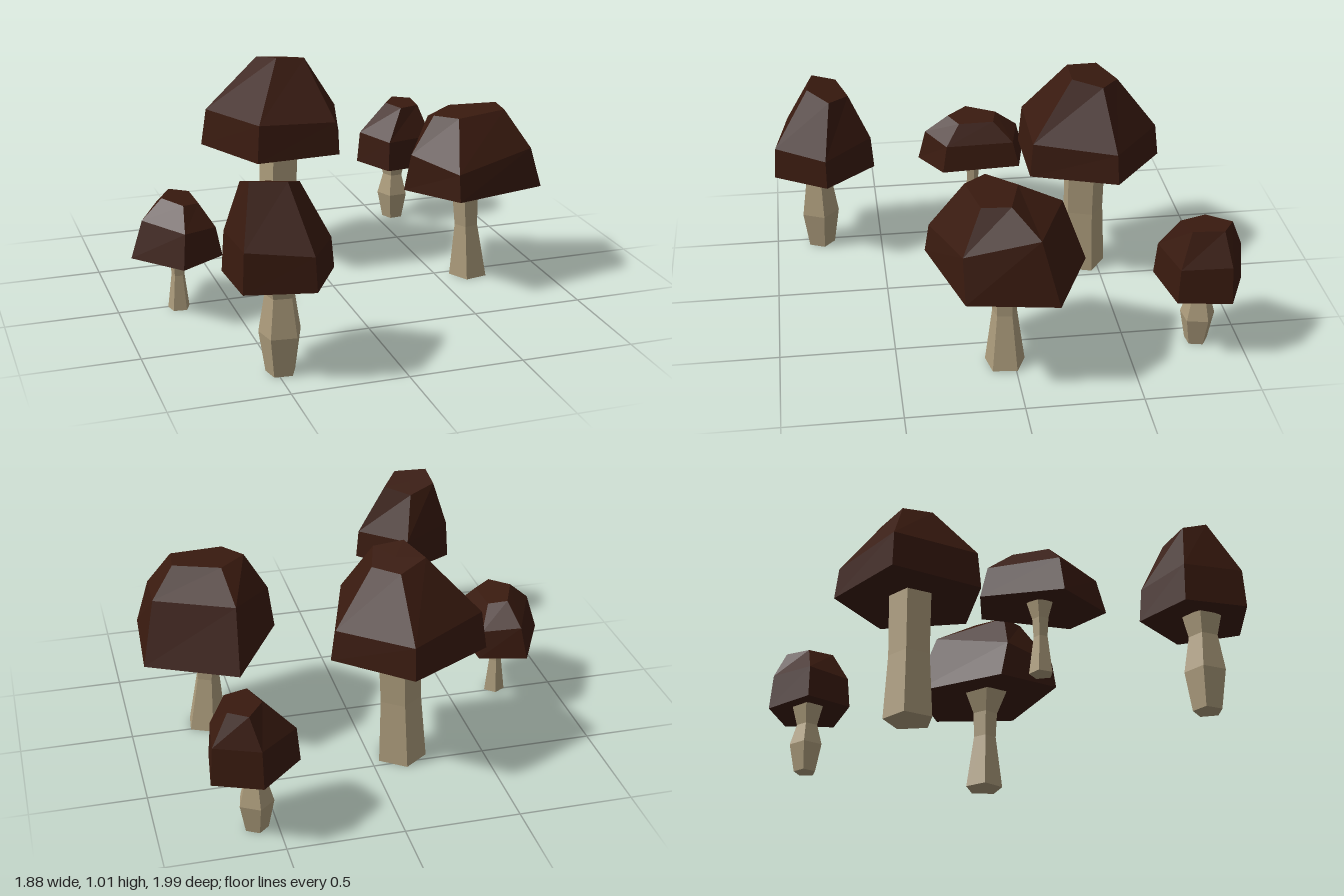
import * as THREE from 'three';

const capMaterial = new THREE.MeshStandardMaterial({ color: 0x391a0f, flatShading: true, roughness: 0.9 });
const stemMaterial = new THREE.MeshStandardMaterial({ color: 0xab9b7b, flatShading: true, roughness: 0.9 });

const centreOf = (ring) => ring
  .reduce((sum, p) => sum.add(p), new THREE.Vector3())
  .divideScalar(ring.length);

// Lofts a closed solid through rings of corners, bottom to top.
// Corners run back, right, front, left; lift raises the centre of the underside.
function loft(rings, lift = 0) {
  const points = [];
  const bottom = rings[0], top = rings[rings.length - 1];
  const low = centreOf(bottom), high = centreOf(top);
  low.y += lift;
  for (let i = 0; i < bottom.length; i++) {
    const j = (i + 1) % bottom.length;
    for (let r = 0; r < rings.length - 1; r++) {
      const a = rings[r], b = rings[r + 1];
      points.push(a[j], a[i], b[i], a[j], b[i], b[j]);
    }
    points.push(low, bottom[i], bottom[j], high, top[j], top[i]);
  }
  const geometry = new THREE.BufferGeometry().setFromPoints(points);
  geometry.computeVertexNormals();
  return geometry;
}

// A cap level is the rim outline scaled, shifted and tilted at a height
function capRing(rim, { y, scale = [1, 1], shift = [0, 0], slope = [0, 0] }) {
  const c = centreOf(rim);
  return rim.map((p) => {
    const dx = (p.x - c.x) * scale[0], dz = (p.z - c.z) * scale[1];
    return new THREE.Vector3(c.x + shift[0] + dx, y + dx * slope[0] + dz * slope[1], c.z + shift[1] + dz);
  });
}

// Five-sided stem ring, one corner pointing back when turn is 0
function stemRing(x, y, z, radius, turn) {
  return Array.from({ length: 5 }, (_, i) => {
    const a = turn + (i * Math.PI * 2) / 5;
    return new THREE.Vector3(x + radius * Math.sin(a), y, z - radius * Math.cos(a));
  });
}

// outline: rim corners [x, z]; levels: rim, shoulder, crown;
// profile: stem [height, radius]; lean: sideways drift of the stem per unit height
function mushroom(name, { outline, levels, foot, profile, lean = 0, turn = 0 }) {
  const rim = outline.map(([x, z]) => new THREE.Vector3(x, 0, z));
  const cap = new THREE.Mesh(loft(levels.map((level) => capRing(rim, level)), 0.03), capMaterial);
  cap.name = 'cap';
  const rings = profile.map(([y, r]) => stemRing(foot[0] + lean * y, y, foot[1], r, turn));
  const stem = new THREE.Mesh(loft(rings), stemMaterial);
  stem.name = 'stem';
  const group = new THREE.Group();
  group.name = name;
  group.add(cap, stem);
  return group;
}

export function createModel() {
  const model = new THREE.Group();
  model.name = 'mushroomCluster';

  // Tallest, with a steep pointed cap
  model.add(mushroom('tallMushroom', {
    outline: [[-0.1, -0.77], [0.2, -0.53], [0.08, -0.15], [-0.31, -0.15], [-0.475, -0.56]],
    levels: [
      { y: 0.575, slope: [0.02, 0.02] },
      { y: 0.73, scale: [0.93, 0.95], slope: [-0.04, 0.05] },
      { y: 0.986, scale: [0.34, 0.35], shift: [0.025, -0.015], slope: [-0.1, 0.2] },
    ],
    foot: [-0.14, -0.43], lean: 0.035,
    profile: [[0, 0.113], [0.3, 0.096], [0.62, 0.1]],
  }));

  // Broad tilted cap on a flaring stem
  model.add(mushroom('wideMushroom', {
    outline: [[0.55, -0.32], [0.94, -0.15], [0.92, 0.235], [0.475, 0.36], [0.32, 0.06]],
    levels: [
      { y: 0.453, slope: [0, 0.07] },
      { y: 0.662, scale: [0.87, 0.82], shift: [-0.022, 0.039], slope: [0.1, -0.19] },
      { y: 0.815, scale: [0.53, 0.32], shift: [-0.027, 0.053], slope: [0.05, 0] },
    ],
    foot: [0.655, 0.04], lean: -0.06, turn: -0.2,
    profile: [[0, 0.09], [0.25, 0.055], [0.37, 0.06], [0.5, 0.115]],
  }));

  // Deep bell cap on a bulging stem
  model.add(mushroom('frontMushroom', {
    outline: [[-0.44, 0.52], [-0.24, 0.75], [-0.385, 0.99], [-0.67, 0.925], [-0.685, 0.65]],
    levels: [
      { y: 0.413 },
      { y: 0.568, scale: [0.95, 0.95], slope: [-0.1, 0] },
      { y: 0.8, scale: [0.53, 0.4], shift: [-0.02, -0.04], slope: [-0.1, 0.3] },
    ],
    foot: [-0.48, 0.79], turn: 0.1,
    profile: [[0, 0.065], [0.175, 0.092], [0.34, 0.065], [0.46, 0.095]],
  }));

  // Low narrow cap on a thin stem
  model.add(mushroom('lowMushroom', {
    outline: [[-0.79, -0.24], [-0.575, -0.195], [-0.565, 0.18], [-0.76, 0.285], [-0.945, 0.07]],
    levels: [
      { y: 0.287, slope: [0.03, -0.02] },
      { y: 0.428, scale: [0.8, 0.87], shift: [0.01, 0], slope: [-0.1, 0] },
      { y: 0.518, scale: [0.4, 0.45], shift: [0.017, 0], slope: [-0.15, 0] },
    ],
    foot: [-0.73, 0.02], turn: 0.1,
    profile: [[0, 0.05], [0.16, 0.03], [0.24, 0.035], [0.32, 0.06]],
  }));

  // Small rounded cap at the back
  model.add(mushroom('backMushroom', {
    outline: [[0.585, -1], [0.785, -0.91], [0.755, -0.68], [0.5, -0.63], [0.4, -0.83]],
    levels: [
      { y: 0.303, slope: [-0.03, 0] },
      { y: 0.46, scale: [0.93, 0.93], slope: [0, -0.06] },
      { y: 0.605, scale: [0.39, 0.59], shift: [0.027, -0.008] },
    ],
    foot: [0.59, -0.815], turn: -0.1,
    profile: [[0, 0.052], [0.13, 0.078], [0.23, 0.05], [0.34, 0.08]],
  }));

  return model;
}
